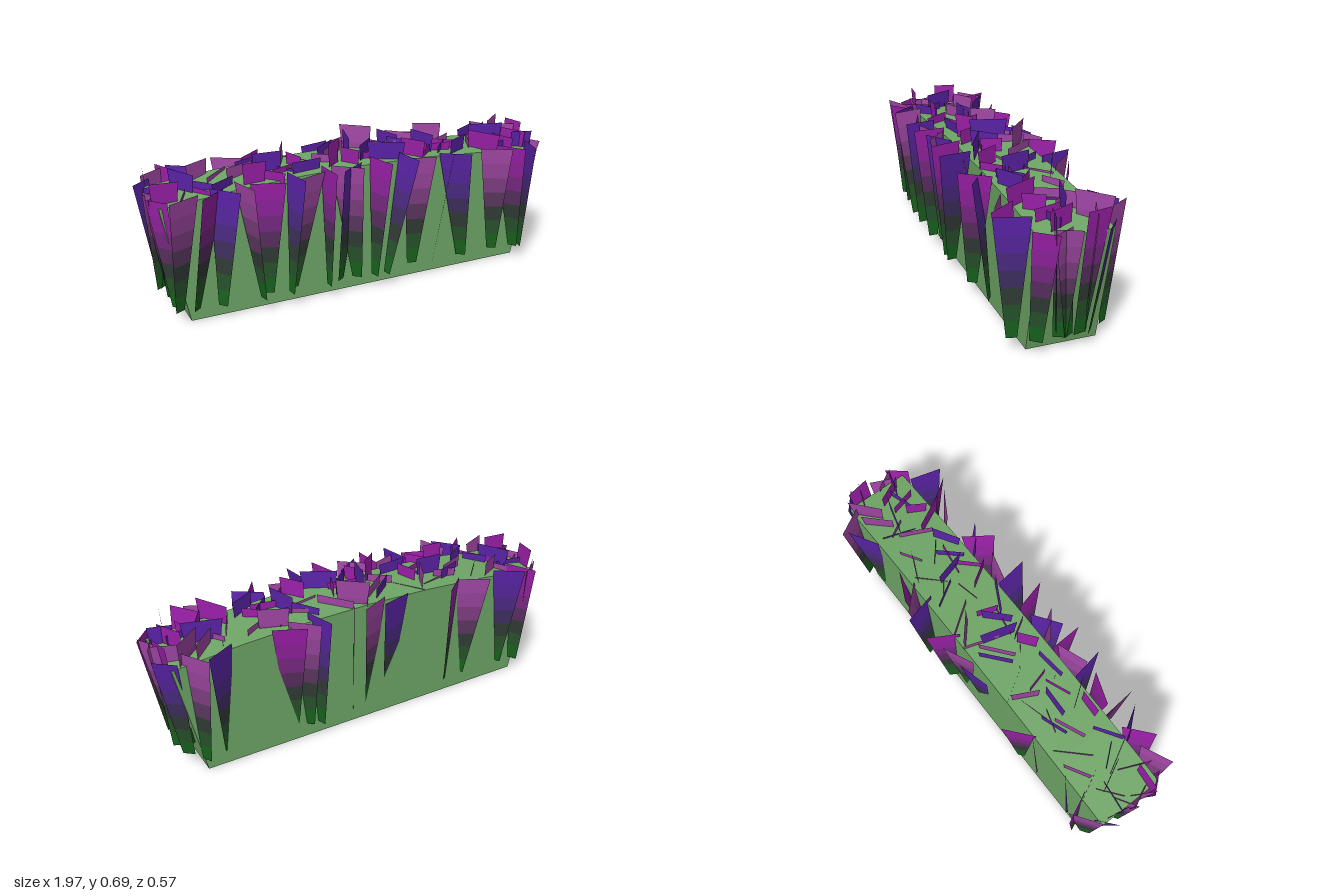
import * as THREE from 'three';
import { mergeGeometries } from 'three/addons/utils/BufferGeometryUtils.js';

const BANDS = 7;
const GREEN = new THREE.Color(0x0c6a14);
const DARK = new THREE.Color(0x343238);
const TINTS = [0xa046a4, 0x9a1fa8, 0x5a22a6].map((c) => new THREE.Color(c));

// Repeatable pseudo-random numbers
let seed = 7;
function rand(a, b) {
  seed = (seed * 16807) % 2147483647;
  return a + (b - a) * (seed / 2147483647);
}

// One horizontal slice of a blade
function slice(corners) {
  const g = new THREE.BufferGeometry().setFromPoints(corners);
  g.setIndex([0, 1, 2, 0, 2, 3]);
  g.computeVertexNormals();
  return g;
}

// Collects blade slices by tint and height band, then makes one mesh for each
function createBlades(name) {
  const bins = TINTS.map(() => Array.from({ length: BANDS }, () => []));
  return {
    // Narrow foot and wide top; yaw in degrees, 0 runs along x
    add(foot, top, yaw, footWidth, topWidth, tint) {
      const a = THREE.MathUtils.degToRad(yaw);
      const dir = new THREE.Vector3(Math.cos(a), 0, Math.sin(a));
      const at = (t, s) => foot.clone().lerp(top, t)
        .addScaledVector(dir, s * THREE.MathUtils.lerp(footWidth, topWidth, t) / 2);
      for (let i = 0; i < BANDS; i++) {
        const t0 = i / BANDS, t1 = (i + 1) / BANDS;
        bins[tint][i].push(slice([at(t0, -1), at(t0, 1), at(t1, 1), at(t1, -1)]));
      }
    },
    build() {
      const group = new THREE.Group();
      group.name = name;
      bins.forEach((bands, k) => bands.forEach((list, i) => {
        if (!list.length) return;
        const t = (i + 0.5) / BANDS;
        const color = t < 0.4 ? GREEN.clone().lerp(DARK, t / 0.4)
          : DARK.clone().lerp(TINTS[k], Math.min(1, (t - 0.4) / 0.45));
        const mesh = new THREE.Mesh(mergeGeometries(list),
          new THREE.MeshStandardMaterial({ color, side: THREE.DoubleSide, flatShading: true }));
        mesh.name = name + 'Band' + (i + 1);
        group.add(mesh);
      }));
      return group;
    },
  };
}

// Bed with flared ends and a gently arched top
function createBed() {
  const shape = new THREE.Shape();
  shape.moveTo(-0.85, 0).lineTo(0.8, 0).lineTo(0.915, 0.525);
  shape.quadraticCurveTo(0, 0.64, -0.95, 0.525);
  const geo = new THREE.ExtrudeGeometry(shape, { depth: 0.307, bevelEnabled: false, curveSegments: 6 });
  geo.translate(0, 0, -0.16);
  const bed = new THREE.Mesh(geo, new THREE.MeshStandardMaterial({ color: 0x6fa667, flatShading: true }));
  bed.name = 'bed';
  return bed;
}

// Row along a long side; each blade is [foot x, sideways lean, yaw].
// Blades turned across the row stand further out and rise higher.
function createRow(name, rows, side, footOut, lean) {
  const blades = createBlades(name);
  rows.forEach(([x, dx, yaw], i) => {
    const across = Math.abs(Math.sin(THREE.MathUtils.degToRad(yaw)));
    const out = footOut + 0.07 * across;
    const y = 0.56 + 0.04 * (1 - Math.abs(x)) + 0.02 * across;
    blades.add(new THREE.Vector3(x, 0.065, side * out),
      new THREE.Vector3(x + dx, y, side * (out + lean * (1.2 - across))),
      yaw, 0.045, 0.15, i % 3);
  });
  return blades.build();
}

// Blades at both ends, mirrored; each is [z, lean in z, yaw]
function createEnds() {
  const blades = createBlades('endBlades');
  const rows = [[-0.01, 0.07, 60], [-0.055, -0.03, 80], [-0.1, -0.04, 40], [0.03, 0.01, -65], [0.13, 0, -50]];
  for (const side of [1, -1]) {
    rows.forEach(([z, dz, yaw], i) => blades.add(
      new THREE.Vector3(side * 0.88 - 0.02, 0.065, z),
      new THREE.Vector3(side * 0.945 - 0.01, i === 1 ? 0.62 : 0.555, z + dz),
      side * yaw, 0.055, 0.11, i % 3));
  }
  return blades.build();
}

// Five tufts rising out of the top of the bed, tallest in the middle
function createTop() {
  const blades = createBlades('topBlades');
  const heights = [0.62, 0.655, 0.69, 0.655, 0.64];
  const count = 13;
  heights.forEach((height, k) => {
    for (let i = 0; i < count; i++) {
      const x = -0.79 + 0.385 * k + 0.16 * (2 * (i + 0.5) / count - 1);
      const z = 0.1 * Math.sin(i * 1.9) + rand(-0.02, 0.02);
      const y = i % 4 === 1 ? height : height - rand(0.02, 0.08);
      blades.add(new THREE.Vector3(x, 0.1, z * 0.7), new THREE.Vector3(x, y, z),
        rand(-75, 75), 0.03, rand(0.09, 0.18), i % 3);
    }
  });
  return blades.build();
}

export function createModel() {
  const front = [
    [-0.9, 0.04, -25], [-0.83, 0.09, -40], [-0.72, 0.03, 50], [-0.54, -0.07, 75], [-0.5, 0, 20],
    [-0.41, 0.03, 80], [-0.38, 0.08, -20], [-0.23, 0, 87], [-0.16, 0.05, -35], [-0.08, -0.06, 40],
    [0, 0.02, 75], [0.06, 0.1, 82], [0.22, 0.01, 15], [0.31, 0.09, -55], [0.48, -0.07, 35],
    [0.66, -0.02, 30], [0.77, -0.06, 55], [0.8, 0.02, -75],
  ];
  const back = [
    [-0.9, 0.01, -35], [-0.85, 0.02, 65], [-0.76, 0, 35], [-0.53, -0.02, 30], [-0.44, 0, -40],
    [-0.12, 0, -15], [-0.01, 0, -25], [0.09, 0.01, -60], [0.26, 0.01, 75], [0.31, 0.03, 45],
    [0.38, 0.03, 25], [0.7, 0.02, -30], [0.81, 0.02, 60],
  ];
  const model = new THREE.Group();
  model.name = 'flowerBed';
  model.add(createBed(),
    createRow('frontBlades', front, 1, 0.14, 0.045),
    createRow('backBlades', back, -1, 0.12, 0.07),
    createEnds(), createTop());
  return model;
}
